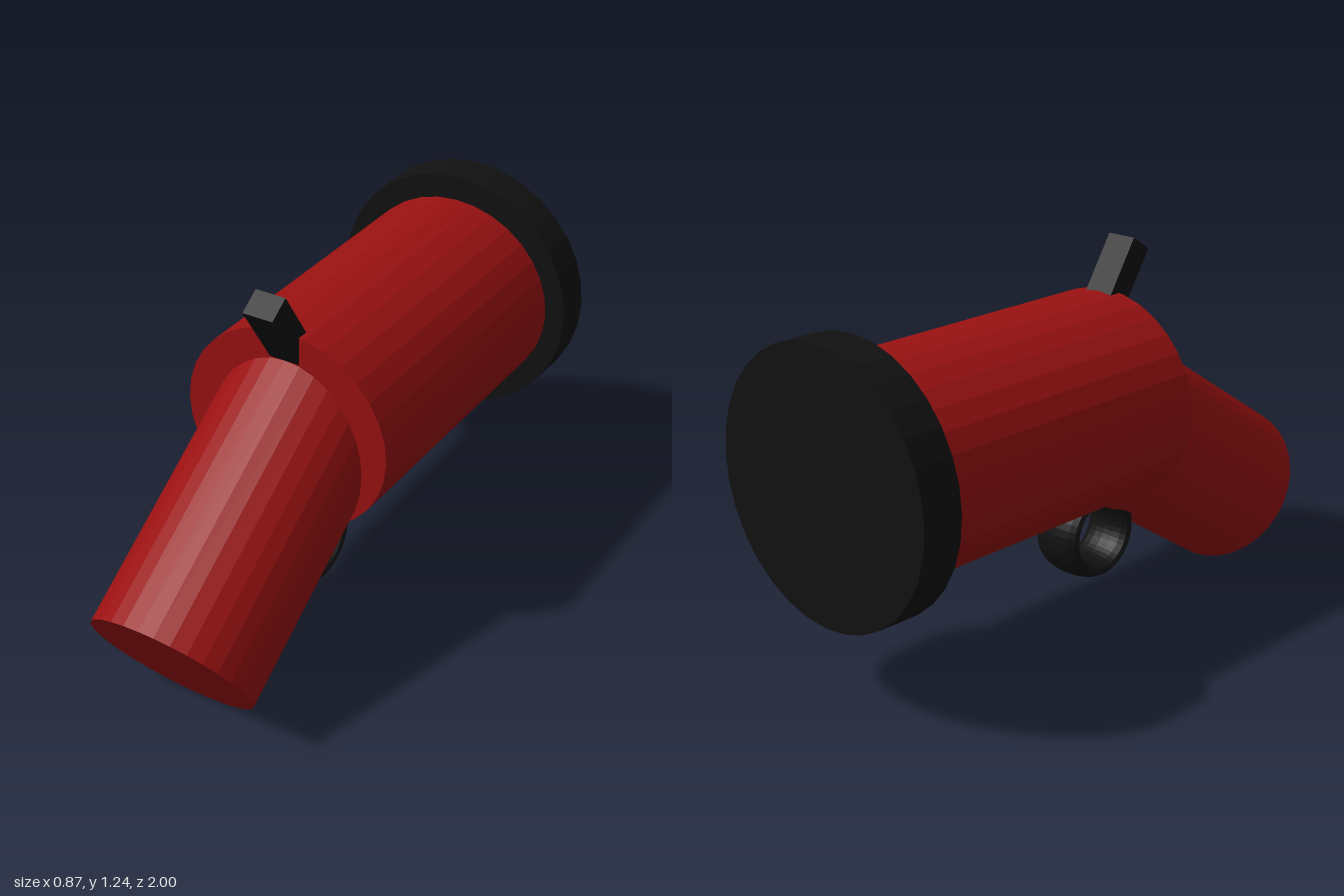
import * as THREE from 'three';

const red = new THREE.MeshStandardMaterial({ color: 0x991111, flatShading: true });
const black = new THREE.MeshStandardMaterial({ color: 0x111111, flatShading: true });

export function createModel() {
  const model = new THREE.Group();
  const add = (name, geometry, material, x, y, z) => {
    const mesh = new THREE.Mesh(geometry, material);
    mesh.name = name;
    mesh.position.set(x, y, z);
    model.add(mesh);
    return mesh;
  };
  // Cylinder whose axis lies along z
  const drum = (radius, length, squash = 1) =>
    new THREE.CylinderGeometry(radius, radius, length, 32).rotateX(Math.PI / 2).scale(1, squash, 1);

  const tilt = 0.579; // downward slope of the front tube
  const axis = new THREE.Vector3(0, -Math.sin(tilt), Math.cos(tilt));
  const up = new THREE.Vector3(0, Math.cos(tilt), Math.sin(tilt));

  // Slightly flattened horizontal barrel with a wide end cap
  add('barrel', drum(0.363, 1.09, 0.953), red, 0, 0.734, -0.33);
  add('endCap', drum(0.433, 0.14), black, 0, 0.733, -0.93);

  // Sloping front tube, its rear end buried in the barrel
  const length = 0.95;
  const front = new THREE.Vector3(0, 0.236, 0.849);
  const mid = front.clone().addScaledVector(axis, -length / 2);
  add('frontTube', drum(0.277, length), red, 0, mid.y, mid.z).rotation.x = tilt;

  // Switch standing square to the front tube
  const top = new THREE.Vector3(0, 1.22, 0.32).addScaledVector(up, -0.16);
  add('switch', new THREE.BoxGeometry(0.105, 0.32, 0.086), black, 0, top.y, top.z).rotation.x = tilt;

  // Broad ring underneath, hole facing sideways
  const ring = new THREE.TorusGeometry(0.13, 0.03, 16, 40).scale(1, 1, 3).rotateY(Math.PI / 2);
  add('ring', ring, black, 0, 0.278, 0.115);

  return model;
}
